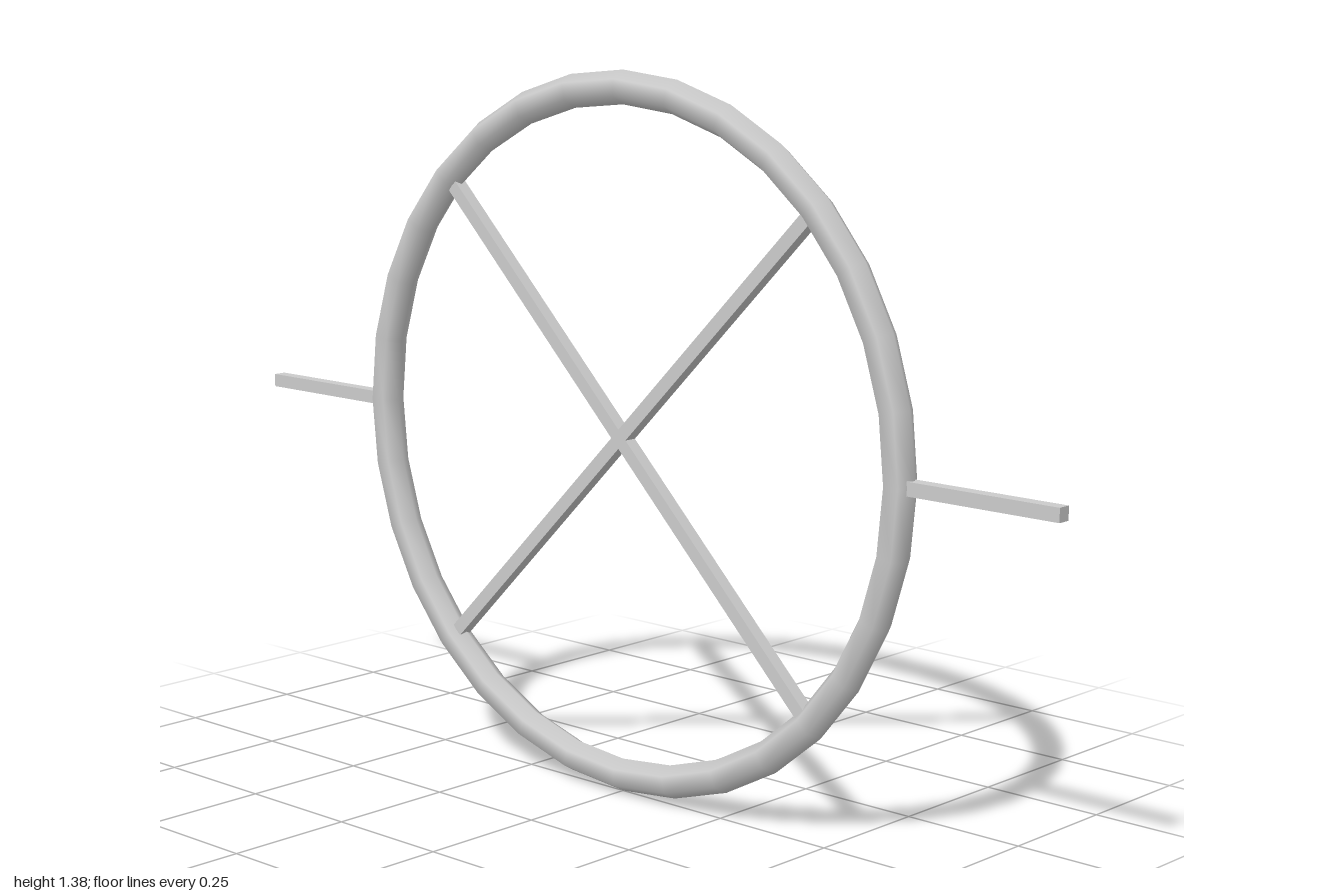
import * as THREE from 'three';

const RING = 0.659;   // radius to the middle of the rim
const TUBE = 0.032;   // rim thickness radius
const BAR = 0.026;    // square bar width
const CENTRE_Y = RING + TUBE + 0.002;

export function createModel() {
  const model = new THREE.Group();
  const material = new THREE.MeshStandardMaterial({ color: 0xcccccc });

  const add = (name, geometry, x = 0, angle = 0) => {
    const mesh = new THREE.Mesh(geometry, material);
    mesh.name = name;
    mesh.position.set(x, CENTRE_Y, 0);
    mesh.rotation.z = angle;
    model.add(mesh);
  };

  // Smooth rim with a six-sided section
  add('rim', new THREE.TorusGeometry(RING, TUBE, 6, 32));

  // Two crossed diagonal spokes ending inside the rim
  const spoke = new THREE.BoxGeometry(RING * 2, BAR, BAR);
  add('risingSpoke', spoke, 0, Math.PI / 4);
  add('fallingSpoke', spoke, 0, -Math.PI / 4);

  // Axle stubs reaching out from the rim on both sides
  const length = 1 - RING;
  const stub = new THREE.BoxGeometry(length, BAR, BAR);
  add('leftAxle', stub, RING + length / 2);
  add('rightAxle', stub, -RING - length / 2);

  return model;
}
